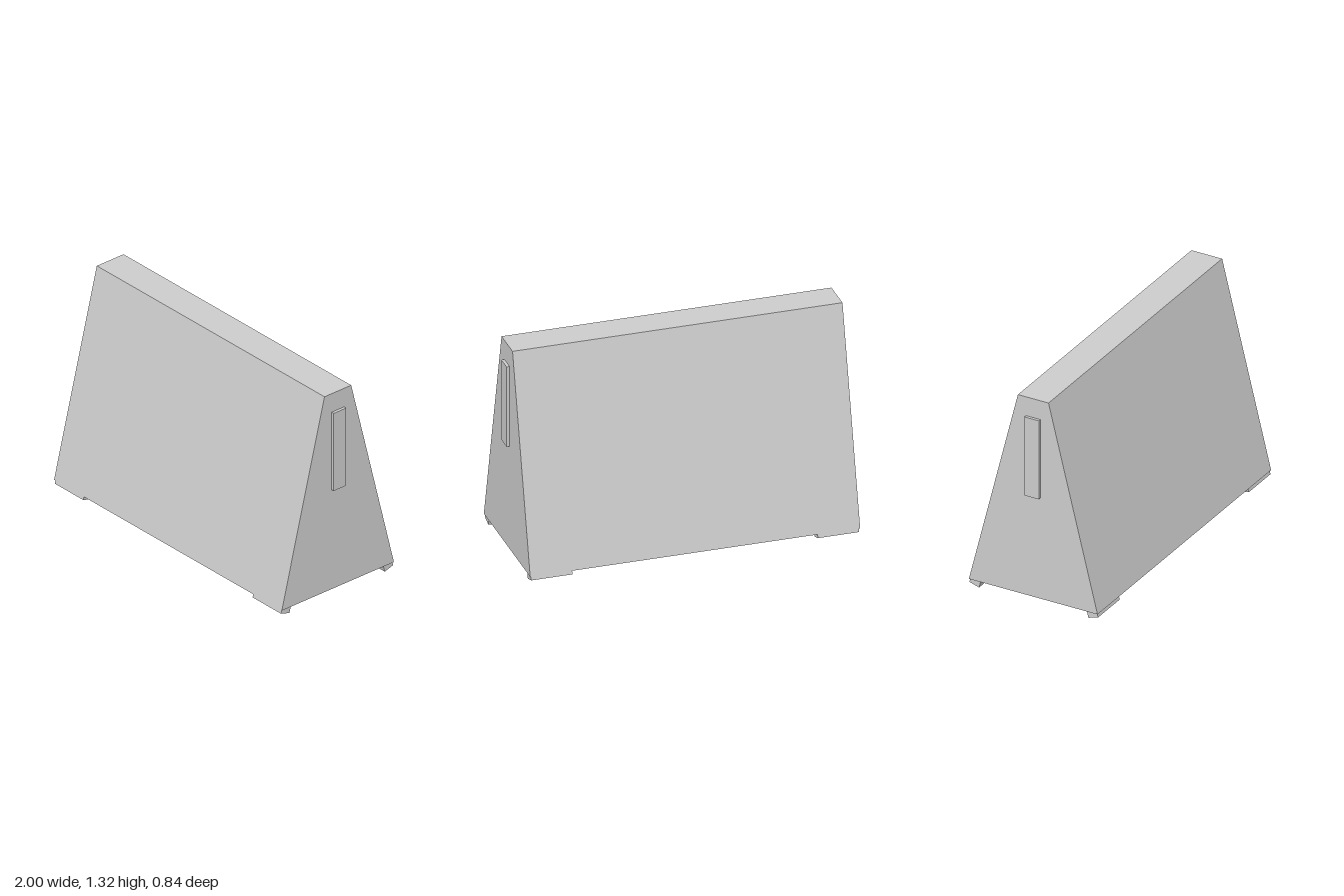
import * as THREE from 'three';

const material = new THREE.MeshStandardMaterial({ color: 0xcccccc, flatShading: true });

// Extrudes a [z, y] outline along x, centred on the given x
function prism(name, outline, width, x = 0) {
  const shape = new THREE.Shape(outline.map(([z, y]) => new THREE.Vector2(z, y)));
  const geometry = new THREE.ExtrudeGeometry(shape, { depth: width, bevelEnabled: false });
  geometry.translate(0, 0, -width / 2).rotateY(-Math.PI / 2);
  const mesh = new THREE.Mesh(geometry, material);
  mesh.name = name;
  mesh.position.x = x;
  return mesh;
}

export function createModel() {
  const model = new THREE.Group();
  model.name = 'taperedCase';

  // Tapered body
  model.add(prism('body', [[-0.42, 0.042], [0.42, 0.042], [0.1, 1.317], [-0.1, 1.317]], 1.964));

  for (const [side, sx] of [['left', 1], ['right', -1]]) {
    // Raised strip on each end panel
    const strip = new THREE.Mesh(new THREE.BoxGeometry(0.03, 0.506, 0.094), material);
    strip.name = side + 'EndStrip';
    strip.position.set(sx * 0.985, 0.943, 0);
    model.add(strip);

    // Feet tilted to follow the sloping faces
    for (const [end, sz] of [['Front', 1], ['Back', -1]]) {
      const outline = [[0.42, 0.019], [0.357, 0], [0.346, 0.043], [0.414, 0.043]];
      model.add(prism(side + end + 'Foot', outline.map(([z, y]) => [z * sz, y]), 0.245, sx * 0.853));
    }
  }
  return model;
}
